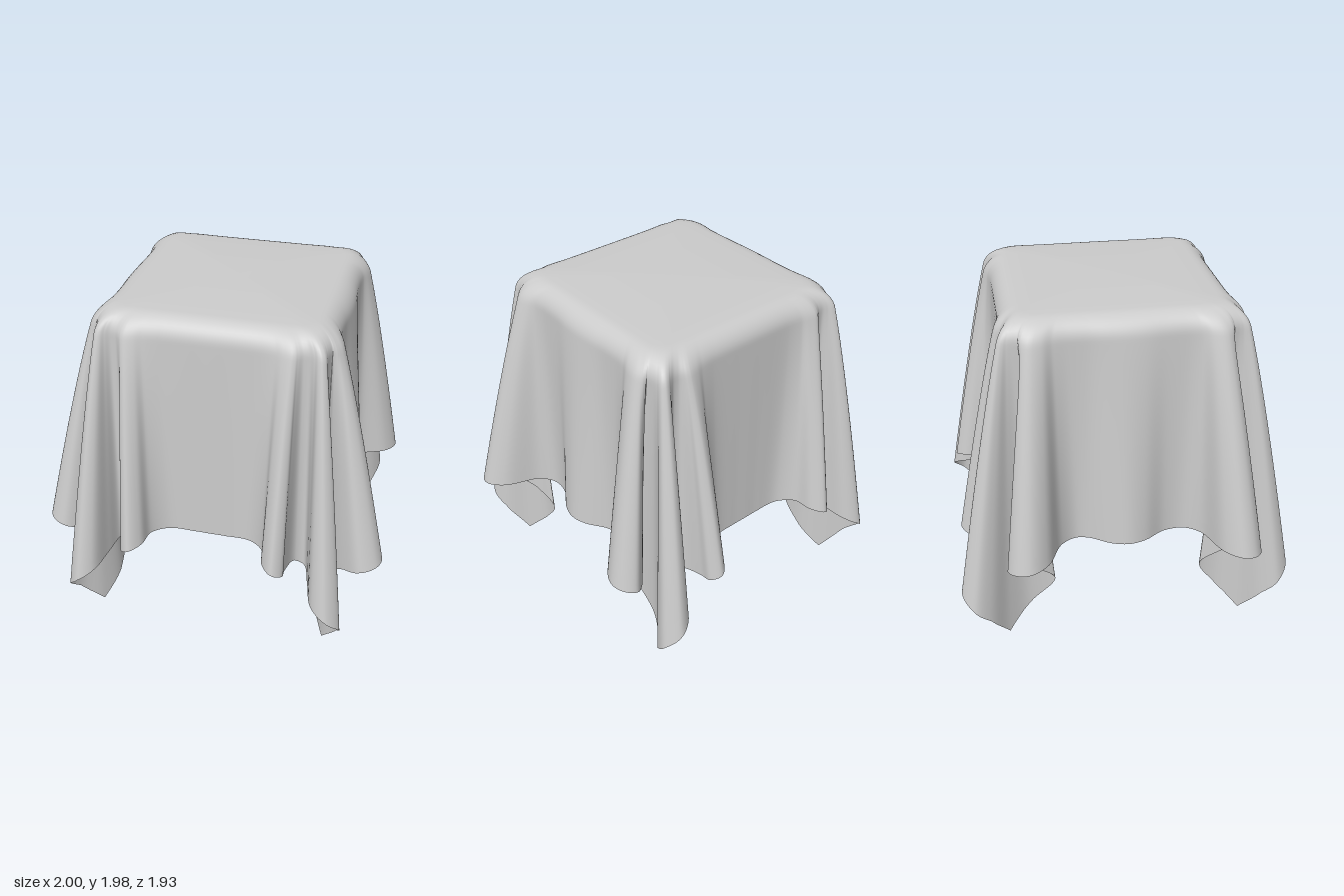
import * as THREE from 'three';

const HALF = 0.655, CORNER = 0.1, RIM_Y = 1.965, BEND = 0.12;
const STRAIGHT = HALF - CORNER;
const ARC = CORNER * Math.PI / 2;
const QUARTER = 2 * STRAIGHT + ARC;
const SX = [1, -1, -1, 1], SZ = [1, 1, -1, -1];

// Hem of one quarter, from the middle of the side to the middle of the front:
// distance along the table edge, then x, z and height of the hem
const HEM = [
  [0, 0.785, 0, 0.62], [0.1, 0.76, 0.1, 0.62], [0.22, 0.685, 0.22, 0.62], [0.33, 0.675, 0.34, 0.62],
  // side fold
  [0.4, 0.74, 0.43, 0.62], [0.45, 0.93, 0.52, 0.61], [0.49, 1.0, 0.62, 0.6], [0.51, 0.98, 0.7, 0.59],
  [0.53, 0.89, 0.748, 0.57], [0.555, 0.79, 0.69, 0.53], [0.58, 0.68, 0.57, 0.43], [0.595, 0.625, 0.46, 0.31],
  // hanging corner of the cloth
  [0.615, 0.62, 0.57, 0.14], [0.634, 0.69, 0.7, 0], [0.65, 0.79, 0.81, 0.17], [0.66, 0.815, 0.9, 0.26],
  [0.67, 0.74, 0.965, 0.35], [0.68, 0.65, 0.92, 0.41], [0.7, 0.6, 0.77, 0.45], [0.73, 0.56, 0.66, 0.49],
  // front fold
  [0.755, 0.505, 0.68, 0.53], [0.78, 0.475, 0.82, 0.56], [0.795, 0.475, 0.9, 0.58], [0.81, 0.42, 0.94, 0.61],
  [0.85, 0.355, 0.88, 0.63], [0.9, 0.33, 0.77, 0.64], [0.99, 0.24, 0.69, 0.63], [1.15, 0.1, 0.672, 0.62],
  [QUARTER, 0, 0.672, 0.62],
];

// Point on the rounded-square table edge at a distance along it
function edgePoint(distance) {
  const k = Math.min(3, Math.floor(distance / QUARTER));
  const r = distance - k * QUARTER;
  const q = k % 2 ? QUARTER - r : r;
  let x = HALF, z = q;
  if (q > STRAIGHT + ARC) {
    x = QUARTER - q;
    z = HALF;
  } else if (q > STRAIGHT) {
    const a = (q - STRAIGHT) / CORNER;
    x = STRAIGHT + CORNER * Math.cos(a);
    z = STRAIGHT + CORNER * Math.sin(a);
  }
  return [x * SX[k], z * SZ[k]];
}

// Mirror the quarter hem round all four corners
function hemLoop() {
  const loop = [];
  for (let k = 0; k < 4; k++) {
    const part = k % 2 ? [...HEM].reverse() : HEM;
    for (const [q, x0, z0, y] of part.slice(0, -1)) {
      let x = x0, z = z0;
      if (k > 1 && q > 0.3 && q < 0.6) { // the rear side folds are smaller
        x = 0.66 + (x - 0.66) * (k === 2 ? 0.88 : 0.8);
        z -= 0.045;
      }
      const s = k * QUARTER + (k % 2 ? QUARTER - q : q);
      loop.push({ s, y, p: new THREE.Vector3(x * SX[k], 0, z * SZ[k]) });
    }
  }
  return loop;
}

function clothGeometry() {
  const loop = hemLoop(), n = loop.length, SUB = 7, TOP = 8, DROP = 44;
  const plan = new THREE.CatmullRomCurve3(loop.map((h) => h.p), true, 'centripetal');
  const cols = n * SUB, rows = TOP + DROP + 1;
  const position = new Float32Array(rows * cols * 3);

  for (let c = 0; c < cols; c++) {
    const i = Math.floor(c / SUB), f = (c % SUB) / SUB;
    const a = loop[i], b = loop[(i + 1) % n];
    const nextS = i === n - 1 ? 4 * QUARTER : b.s;
    const [ex, ez] = edgePoint(THREE.MathUtils.lerp(a.s, nextS, f));
    const hem = plan.getPoint(c / cols);
    const fall = RIM_Y - THREE.MathUtils.lerp(a.y, b.y, f);

    for (let r = 0; r < rows; r++) {
      let x, y, z;
      if (r < TOP) { // slightly domed top
        const g = r / TOP, size = g * (1 - BEND / HALF);
        x = ex * size;
        z = ez * size;
        y = RIM_Y + 0.015 * (1 - g * g);
      } else { // rounded rim running down into the folds
        const t = Math.pow((r - TOP) / DROP, 1.6), d = t * fall;
        const up = Math.max(0, BEND - d);
        const size = 1 - (BEND - Math.sqrt(BEND * BEND - up * up)) / HALF;
        const s = Math.pow(t, 0.85);
        x = ex * size + (hem.x - ex) * s;
        z = ez * size + (hem.z - ez) * s;
        y = RIM_Y - d;
      }
      position.set([x, y, z], (r * cols + c) * 3);
    }
  }

  const index = [];
  for (let r = 0; r < rows - 1; r++) {
    for (let c = 0; c < cols; c++) {
      const c1 = (c + 1) % cols;
      const a = r * cols + c, b = r * cols + c1, d = a + cols, e = b + cols;
      if (r > 0) index.push(a, b, d);
      index.push(b, e, d);
    }
  }
  const geometry = new THREE.BufferGeometry();
  geometry.setAttribute('position', new THREE.BufferAttribute(position, 3));
  geometry.setIndex(index);
  geometry.computeVertexNormals();
  // The centre row is a single point, so it faces straight up
  for (let c = 0; c < cols; c++) geometry.attributes.normal.setXYZ(c, 0, 1, 0);
  return geometry;
}

export function createModel() {
  const group = new THREE.Group();
  group.name = 'drapedTablecloth';
  const material = new THREE.MeshStandardMaterial({ color: 0xcccccc, side: THREE.DoubleSide });
  const cloth = new THREE.Mesh(clothGeometry(), material);
  cloth.name = 'cloth';
  group.add(cloth);
  return group;
}
